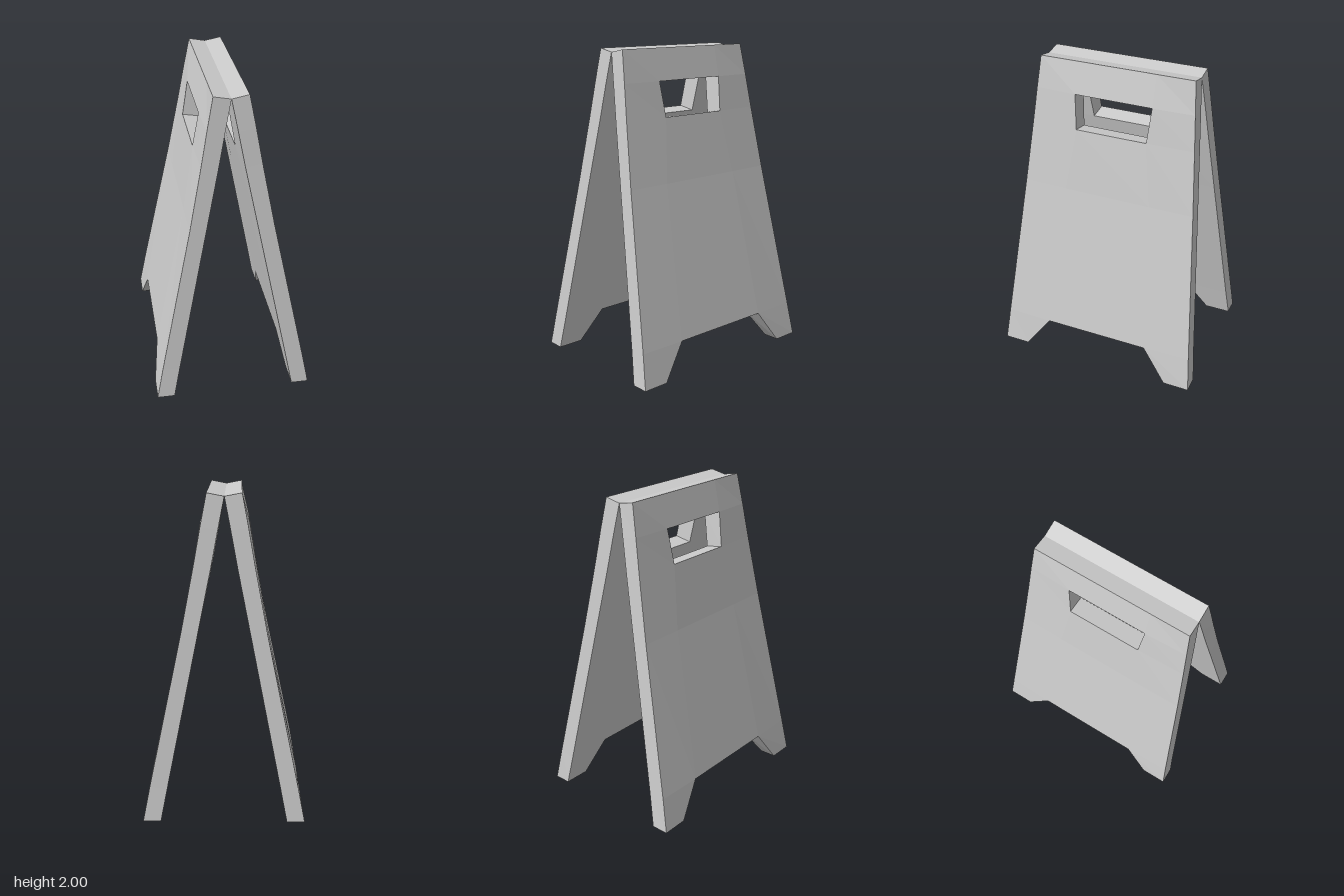
import * as THREE from 'three';

// Board cross-sections from foot to top:
// outer height, inner height, outer x, inner x, half width at the edge,
// half width of the middle field, outer and inner bulge of the middle field
const ROWS = [
  { y: 0.0, yi: 0.0, x: 0.5, xi: 0.39, edge: 0.68, mid: 0.51, out: 0, inn: 0 },
  { y: 0.22, yi: 0.2, x: 0.457, xi: 0.351, edge: 0.66, mid: 0.35, out: 0.008, inn: 0 },
  { y: 1.18, yi: 1.16, x: 0.258, xi: 0.16, edge: 0.577, mid: 0.29, out: 0.003, inn: 0.003 },
  { y: 1.58, yi: 1.56, x: 0.182, xi: 0.08, edge: 0.542, mid: 0.235, out: 0.008, inn: 0.006 },
  { y: 1.8, yi: 1.785, x: 0.143, xi: 0.038, edge: 0.523, mid: 0.255, out: 0.01, inn: 0.005 },
  { y: 2.0, yi: 1.98, x: 0.105, xi: 0, edge: 0.505, mid: 0.26, out: 0, inn: 0 },
];

// A cell is solid unless it is the notch between the feet or the hand hole
const solid = (r, c) =>
  r >= 0 && r < ROWS.length - 1 && c >= 0 && c < 3 && !(c === 1 && (r === 0 || r === 3));

function point(r, c, inner) {
  const s = ROWS[r];
  const middle = c === 1 || c === 2;
  const z = (c < 2 ? -1 : 1) * (middle ? s.mid : s.edge);
  return inner
    ? [s.xi - (middle ? s.inn : 0), s.yi, z]
    : [s.x + (middle ? s.out : 0), s.y, z];
}

function boardGeometry() {
  const pos = [];
  const quad = (a, b, c, d) => pos.push(...a, ...b, ...c, ...a, ...c, ...d);

  for (let r = 0; r < ROWS.length - 1; r++) {
    for (let c = 0; c < 3; c++) {
      if (!solid(r, c)) continue;
      const corners = [[r, c], [r + 1, c], [r + 1, c + 1], [r, c + 1]];
      const neighbours = [[r, c - 1], [r + 1, c], [r, c + 1], [r - 1, c]];
      const o = corners.map(([i, j]) => point(i, j, false));
      const n = corners.map(([i, j]) => point(i, j, true));
      // outer and inner faces
      quad(o[0], o[1], o[2], o[3]);
      quad(n[3], n[2], n[1], n[0]);
      // rim, wherever the cell has no solid neighbour
      neighbours.forEach(([i, j], k) => {
        const next = (k + 1) % 4;
        if (!solid(i, j)) quad(o[next], o[k], n[k], n[next]);
      });
    }
  }

  const geometry = new THREE.BufferGeometry();
  geometry.setAttribute('position', new THREE.Float32BufferAttribute(pos, 3));
  geometry.computeVertexNormals();
  return geometry;
}

export function createModel() {
  const group = new THREE.Group();
  group.name = 'foldingFloorSign';
  const material = new THREE.MeshStandardMaterial({ color: 0xcccccc, flatShading: true });
  const geometry = boardGeometry();

  // two identical boards leaning together at the top
  ['leftBoard', 'rightBoard'].forEach((name, i) => {
    const board = new THREE.Mesh(geometry, material);
    board.name = name;
    board.rotation.y = i * Math.PI;
    group.add(board);
  });
  return group;
}
